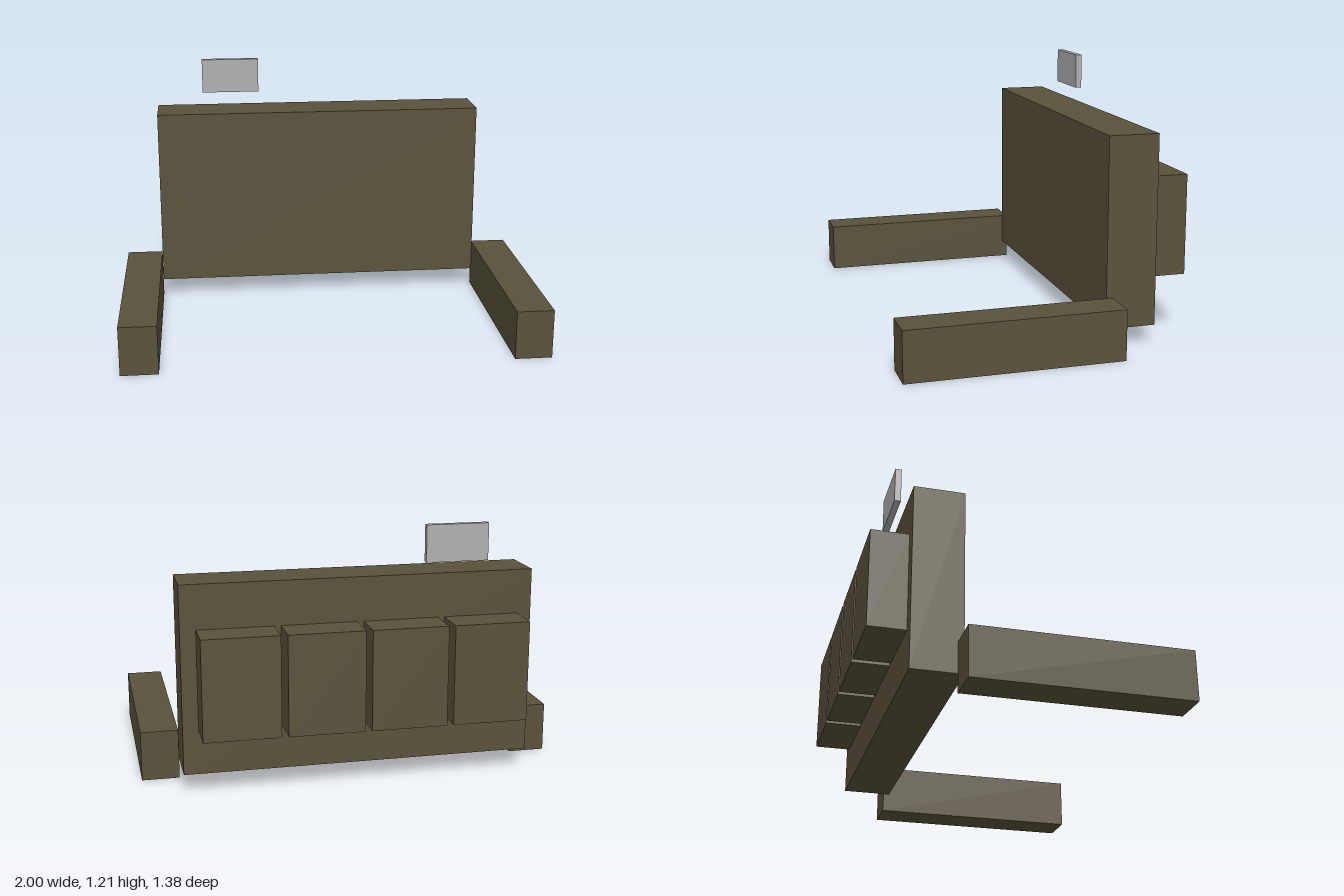
import * as THREE from 'three';

export function createModel() {
  const model = new THREE.Group();
  const olive = new THREE.MeshStandardMaterial({ name: 'olive drab', color: 0x59523b });
  const grey = new THREE.MeshStandardMaterial({ name: 'light grey', color: 0xb0b0b0 });

  // Box given by its minimum and maximum on each axis
  function box(name, material, [x0, x1], [y0, y1], [z0, z1]) {
    const mesh = new THREE.Mesh(new THREE.BoxGeometry(x1 - x0, y1 - y0, z1 - z0), material);
    mesh.position.set((x0 + x1) / 2, (y0 + y1) / 2, (z0 + z1) / 2);
    mesh.name = name;
    model.add(mesh);
  }

  // Upright main panel
  box('mainPanel', olive, [-0.822, 0.822], [0.09, 0.975], [-0.517, -0.281]);

  // Side rails running forward along the ground
  box('rightRail', olive, [-1, -0.824], [0, 0.236], [-0.31, 0.692]);
  box('leftRail', olive, [0.824, 1], [0, 0.236], [-0.31, 0.692]);

  // Row of four pouches on the back
  for (let i = 0; i < 4; i++) {
    const x = -0.754 + i * 0.3835;
    box(`pouch${i + 1}`, olive, [x, x + 0.353], [0.297, 0.767], [-0.692, -0.517]);
  }

  // Small plate floating above the panel
  box('upperPlate', grey, [-0.59, -0.297], [1.034, 1.207], [-0.56, -0.53]);

  return model;
}
